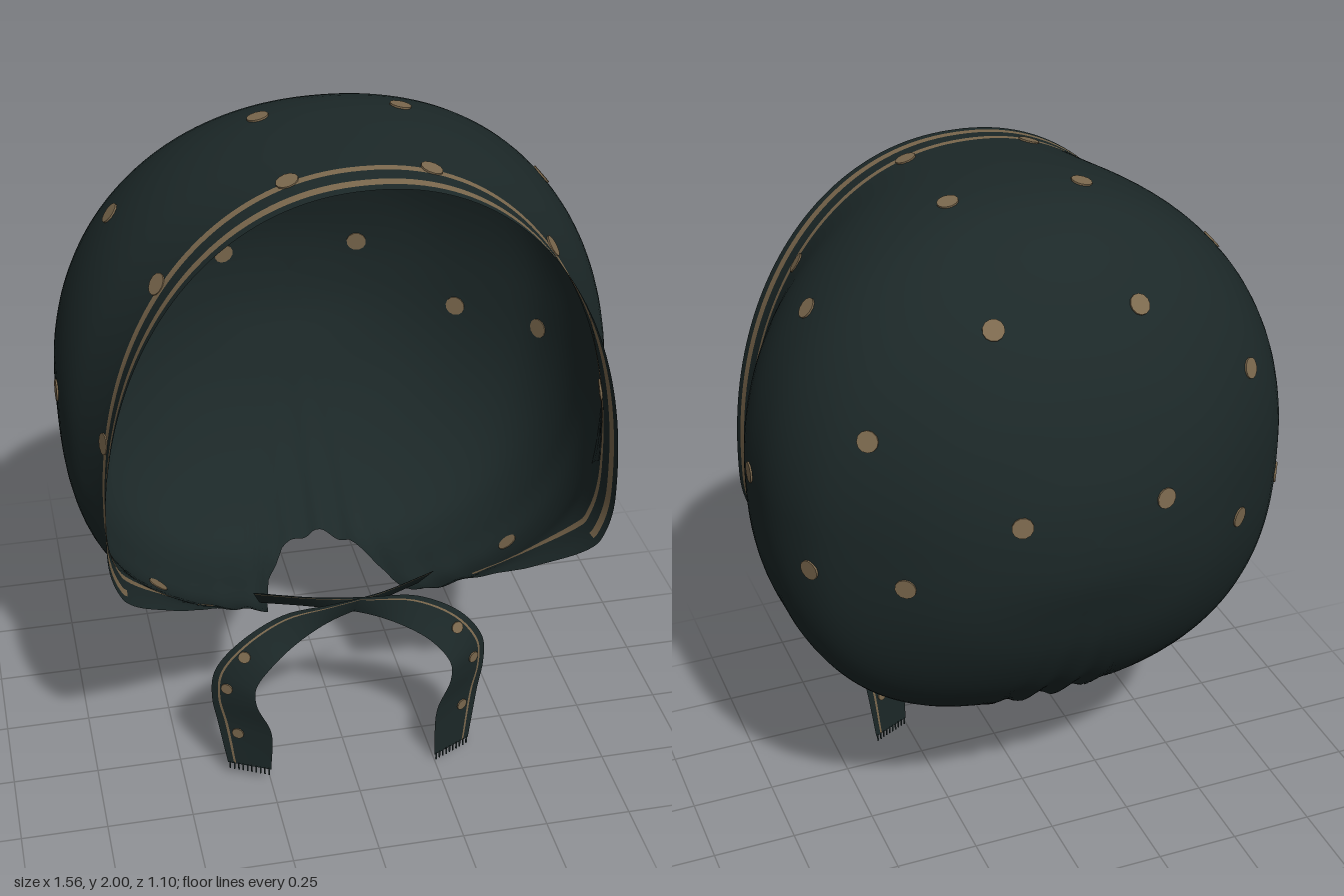
import * as THREE from 'three';

const cloth = new THREE.MeshStandardMaterial({ color: 0x1c2828, side: THREE.DoubleSide });
cloth.name = 'dark green cloth';
const tan = new THREE.MeshStandardMaterial({ color: 0x7c694e, side: THREE.DoubleSide });
tan.name = 'tan print';

// Hood sections from front rim to back pole: z, top y, bottom y, half width, y of widest point
const SECTIONS = [
  [0.545, 1.975, 0.62, 0.705, 1.00], [0.44, 1.985, 0.60, 0.695, 1.02], [0.34, 1.992, 0.57, 0.72, 1.08],
  [0.24, 1.997, 0.50, 0.758, 1.14], [0.14, 2.0, 0.45, 0.775, 1.18], [0.04, 1.997, 0.44, 0.776, 1.2],
  [-0.06, 1.98, 0.435, 0.768, 1.2], [-0.16, 1.935, 0.45, 0.738, 1.2], [-0.26, 1.86, 0.535, 0.68, 1.2],
  [-0.36, 1.755, 0.65, 0.565, 1.2], [-0.45, 1.615, 0.80, 0.43, 1.2], [-0.51, 1.46, 0.96, 0.285, 1.2],
  [-0.545, 1.33, 1.08, 0.14, 1.2], [-0.555, 1.2, 1.2, 0, 1.2],
];
const LAST = SECTIONS.length - 1;

// Where each column starts (degrees from the bottom, section): neck hole, sloped cheek, front rim
const RIM = [[0, 7.3], [5, 6.9], [9, 5.2], [11, 3.7], [12.5, 2.7], [40, 1.2], [69, 0], [180, 0]];

function rimStart(theta) {
  const d = Math.abs(theta) * 180 / Math.PI;
  for (let i = 1; i < RIM.length; i++) {
    const [a, p] = RIM[i - 1], [b, q] = RIM[i];
    if (d <= b) return p + (q - p) * (d - a) / (b - a);
  }
  return 0;
}

function section(t) {
  const i = Math.min(LAST - 1, Math.floor(t)), f = t - i;
  const at = (k) => SECTIONS[Math.max(0, Math.min(LAST, k))];
  return SECTIONS[0].map((_, k) => {
    const a = at(i - 1)[k], b = at(i)[k], c = at(i + 1)[k], d = at(i + 2)[k];
    return b + 0.5 * f * (c - a + f * (2 * a - 5 * b + 4 * c - d + f * (3 * (b - c) + d - a)));
  });
}

// Point on the hood: theta runs around from the bottom, t runs from front to back
function hoodPoint(theta, t) {
  const [z, top, bottom, width, mid] = section(t);
  const s = Math.sin(theta), c = Math.cos(theta), p = 2 / (c > 0 ? 2.55 : 2.15);
  const x = width * Math.sign(s) * Math.abs(s) ** p;
  const y = c > 0 ? mid - (mid - bottom) * c ** p : mid + (top - mid) * (-c) ** p;
  return new THREE.Vector3(x, y, z);
}

function gridGeometry(positions, index, printIndex) {
  const g = new THREE.BufferGeometry();
  g.setAttribute('position', new THREE.Float32BufferAttribute(positions, 3));
  g.setIndex([...index, ...printIndex]);
  g.addGroup(0, index.length, 0);
  g.addGroup(index.length, printIndex.length, 1);
  g.computeVertexNormals();
  return g;
}

// Hood shell with two printed stripes following the rim and gathers at the neck
function makeHood() {
  const cols = 240, offsets = [0, 0.32, 0.56, 0.94, 1.16], backRows = 36;
  const rows = offsets.length + backRows;
  const pos = [], plain = [], print = [];
  const angle = (i) => {
    const f = -1 + 2 * i / cols;
    return Math.PI * Math.sign(f) * Math.abs(f) ** 1.4;
  };
  for (let i = 0; i < cols; i++) {
    const theta = angle(i), t0 = rimStart(theta);
    for (let j = 0; j < rows; j++) {
      const from = t0 + offsets[offsets.length - 1];
      const t = j < offsets.length ? t0 + offsets[j]
        : from + (LAST - from) * (j - offsets.length + 1) / backRows;
      const p = hoodPoint(theta, t);
      const fold = Math.max(0, 1 - (t - t0) / 4) * Math.max(0, 1 - Math.abs(theta) / 0.6);
      p.y += 0.012 * fold * Math.sin(p.x * 60);
      pos.push(p.x, p.y, p.z);
    }
  }
  // The first stripe stops at the cheek corner, the second runs on under it
  for (let i = 0; i < cols; i++) {
    const around = Math.abs(angle(i));
    for (let j = 0; j < rows - 1; j++) {
      const a = i * rows + j, d = ((i + 1) % cols) * rows + j;
      const printed = (j === 1 && around > 1.18) || (j === 3 && around > 0.45);
      (printed ? print : plain).push(a, a + 1, d + 1, a, d + 1, d);
    }
  }
  const mesh = new THREE.Mesh(gridGeometry(pos, plain, print), [cloth, tan]);
  mesh.name = 'hood';
  return mesh;
}

// Thin dot through the cloth, showing on both faces
function makeDot(point, normal, radius) {
  const dot = new THREE.Mesh(new THREE.CylinderGeometry(radius, radius, 0.008, 12), tan);
  dot.position.copy(point);
  dot.quaternion.setFromUnitVectors(new THREE.Vector3(0, 1, 0), normal);
  dot.name = 'printedDot';
  return dot;
}

// Dot at the hood point nearest to a target
function hoodDot(x, y, z, radius) {
  const target = new THREE.Vector3(x, y, z);
  let best = Infinity, bt = 0, bs = 0;
  for (let i = 0; i <= 180; i++) for (let j = 0; j <= 128; j++) {
    const theta = Math.PI * i / 180, t = j / 10;
    const d = hoodPoint(theta, t).distanceToSquared(target);
    if (d < best) { best = d; bt = theta; bs = t; }
  }
  const p = hoodPoint(bt, bs), e = 0.03;
  const du = hoodPoint(bt + e, bs).sub(hoodPoint(bt - e, bs));
  const dv = hoodPoint(bt, bs + e).sub(hoodPoint(bt, Math.max(0, bs - e)));
  return makeDot(p, dv.cross(du).normalize(), radius);
}

// Neck tie lofted between an outer and an inner edge
const OUTER = [[-0.27, 0.6, 0.27], [-0.1, 0.58, 0.3], [0.05, 0.58, 0.33], [0.2, 0.57, 0.34], [0.33, 0.5, 0.35],
  [0.4, 0.4, 0.35], [0.41, 0.3, 0.34], [0.395, 0.2, 0.34], [0.37, 0.02, 0.35]];
const INNER = [[-0.24, 0.51, 0.2], [-0.08, 0.52, 0.27], [0.06, 0.51, 0.32], [0.16, 0.48, 0.36], [0.24, 0.43, 0.39],
  [0.29, 0.36, 0.41], [0.29, 0.3, 0.415], [0.25, 0.2, 0.42], [0.25, 0.02, 0.41]];

function makeTie(side, name, shiftZ, endY) {
  const group = new THREE.Group();
  group.name = name;
  const edge = (pts) => new THREE.CatmullRomCurve3(pts.map(([x, y, z], i) =>
    new THREE.Vector3(side * x, i === pts.length - 1 ? endY : y, z + (i > 0 && i < 5 ? shiftZ : 0))));
  const outer = edge(OUTER), inner = edge(INNER);
  const at = (v, u) => outer.getPoint(v).lerp(inner.getPoint(v), u);
  const across = [0, 0.14, 0.19, 0.5, 1], n = across.length, steps = 48;
  const pos = [], plain = [], print = [];
  for (let i = 0; i <= steps; i++) for (const u of across) pos.push(...at(i / steps, u).toArray());
  for (let i = 0; i < steps; i++) for (let j = 0; j < n - 1; j++) {
    const a = i * n + j, d = a + n;
    const quad = side > 0 ? [a, a + 1, d + 1, a, d + 1, d] : [a, d + 1, a + 1, a, d, d + 1];
    (j === 1 ? print : plain).push(...quad);
  }
  const ribbon = new THREE.Mesh(gridGeometry(pos, plain, print), [cloth, tan]);
  ribbon.name = 'ribbon';
  group.add(ribbon);
  for (const v of [0.53, 0.69, 0.9]) {
    const normal = at(v, 0.9).sub(at(v, 0.1)).cross(at(v + 0.02, 0.5).sub(at(v - 0.02, 0.5))).normalize();
    group.add(makeDot(at(v, 0.35), normal, 0.018));
  }
  // Frayed end
  for (let i = 0; i < 10; i++) {
    const thread = new THREE.Mesh(new THREE.BoxGeometry(0.004, 0.024, 0.004), cloth);
    thread.position.copy(at(1, (i + 0.5) / 10));
    thread.position.y -= 0.008;
    thread.name = 'fringeThread';
    group.add(thread);
  }
  return group;
}

export function createModel() {
  const model = new THREE.Group();
  model.name = 'bonnet';
  model.add(makeHood());

  // Dots in mirrored pairs: back, crown, sides, along the stripe and low on the cheek
  const dots = [
    [0.205, 1.29, -0.53], [0.21, 1.78, -0.34], [0.56, 1.52, -0.31], [0.49, 1.1, -0.39], [0.68, 1.09, -0.21],
    [0.2, 1.98, 0.05], [0.59, 1.74, 0.05], [0.77, 1.24, 0.1],
    [0.19, 1.98, 0.425], [0.565, 1.73, 0.425], [0.7, 1.26, 0.425], [0.53, 0.57, 0.14],
  ];
  for (const [x, y, z] of dots) {
    const left = hoodDot(x, y, z, 0.03);
    const right = makeDot(left.position.clone().setX(-left.position.x),
      new THREE.Vector3(0, 1, 0).applyQuaternion(left.quaternion).multiply(new THREE.Vector3(-1, 1, 1)), 0.03);
    model.add(left, right);
  }

  model.add(makeTie(1, 'leftTie', 0, 0.02), makeTie(-1, 'rightTie', 0.015, 0.05));
  return model;
}
